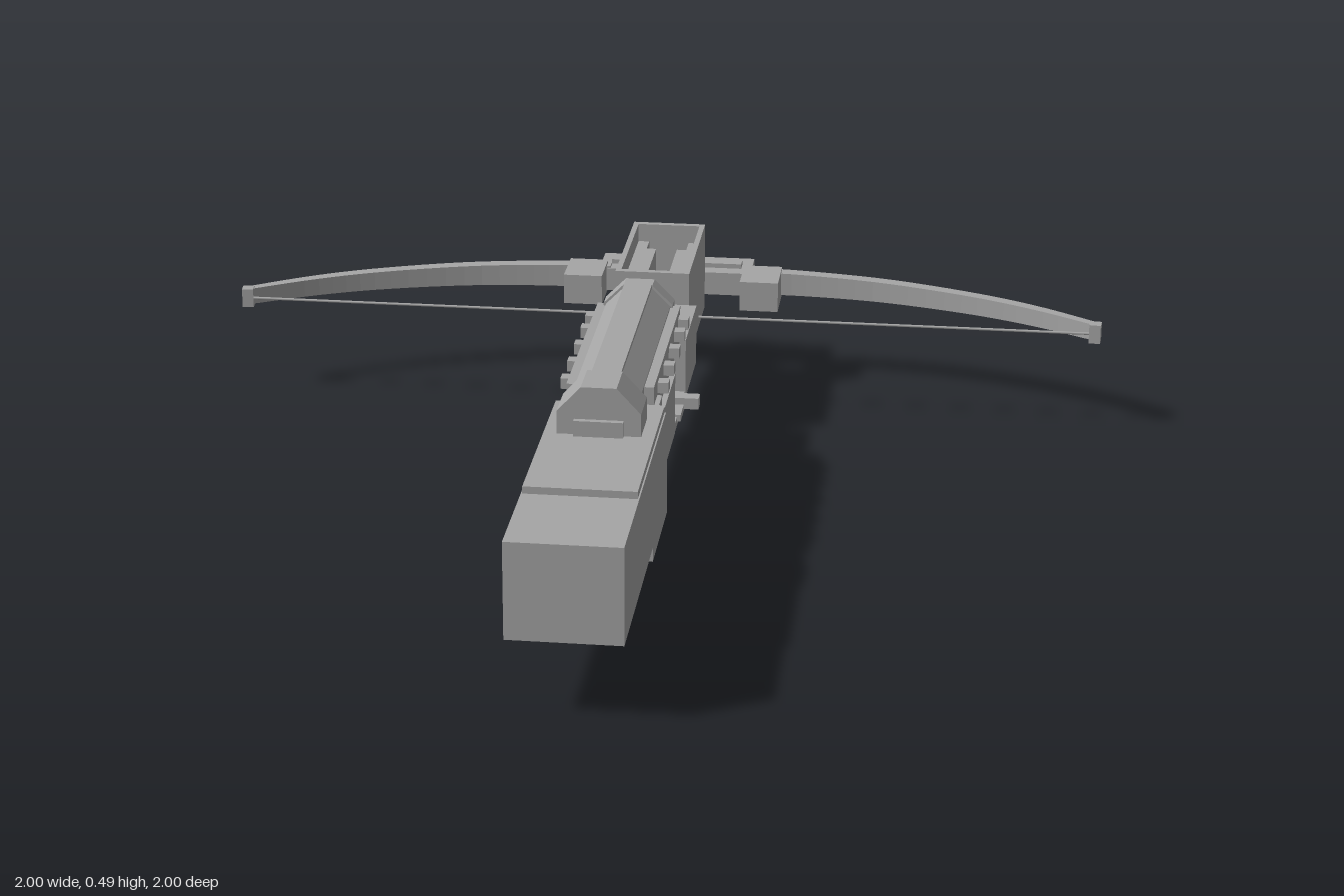
import * as THREE from 'three';

export function createModel() {
  const model = new THREE.Group();
  const grey = new THREE.MeshStandardMaterial({ color: 0xa6a6a6 });
  grey.name = 'plain grey';

  const add = (name, geometry, parent = model) => {
    const mesh = new THREE.Mesh(geometry, grey);
    mesh.name = name;
    parent.add(mesh);
    return mesh;
  };
  // Box given by its limits on each axis
  const box = (name, x0, x1, y0, y1, z0, z1, parent) => {
    const mesh = add(name, new THREE.BoxGeometry(x1 - x0, y1 - y0, z1 - z0), parent);
    mesh.position.set((x0 + x1) / 2, (y0 + y1) / 2, (z0 + z1) / 2);
    return mesh;
  };
  // Outline in x and y, extruded along z
  const prism = (name, points, z0, z1, parent, hole) => {
    const shape = new THREE.Shape(points.map(p => new THREE.Vector2(p[0], p[1])));
    if (hole) shape.holes.push(hole);
    const g = new THREE.ExtrudeGeometry(shape, { depth: z1 - z0, bevelEnabled: false, curveSegments: 24 });
    g.translate(0, 0, z0);
    return add(name, g, parent);
  };

  const body = new THREE.Group();
  body.name = 'body';
  body.position.x = -0.006;
  model.add(body);

  // Stock
  box('stock', -0.115, 0.115, 0.17, 0.372, 0.32, 1, body);
  box('stockTop', -0.112, 0.112, 0.365, 0.387, 0.32, 0.77, body);

  // Receiver, its floor, and the forward block
  box('receiverFloor', -0.1, 0.1, 0.205, 0.225, -0.17, 0.32, body);
  box('receiverCore', -0.075, 0.075, 0.225, 0.345, 0.04, 0.32, body);
  box('receiverTop', -0.1, 0.1, 0.335, 0.385, 0.26, 0.33, body);
  box('forwardBlock', -0.102, 0.102, 0.21, 0.345, -0.39, -0.17, body);
  for (const s of [-1, 1]) {
    const x = s * 0.09;
    box('receiverPanel', x - 0.012, x + 0.012, 0.21, 0.345, 0.035, 0.26, body);
    const gx = s * 0.067;
    box('gripPlate', gx - 0.012, gx + 0.012, 0, 0.21, -0.022, 0.24, body);
  }
  box('gripSpine', -0.03, 0.03, 0.037, 0.205, -0.03, 0.03, body);
  box('trigger', -0.012, 0.012, 0.22, 0.32, 0.01, 0.035, body);
  box('sideLatch', 0.085, 0.14, 0.22, 0.245, -0.11, -0.08, body);
  box('latchArm', 0.08, 0.108, 0.215, 0.23, -0.12, -0.02, body);

  // Slotted bolt rail
  box('railBase', -0.065, 0.065, 0.2, 0.215, -0.9, -0.39, body);
  for (const s of [-1, 1]) {
    const x = s * 0.042;
    box('railSide', x - 0.023, x + 0.023, 0.21, 0.23, -0.89, -0.39, body);
  }

  // Open bolt magazine with inner ledges
  const mag = new THREE.Group();
  mag.name = 'magazine';
  body.add(mag);
  box('magazineFloor', -0.083, 0.083, 0.208, 0.235, -0.755, -0.41, mag);
  box('magazineFront', -0.083, 0.083, 0.21, 0.412, -0.425, -0.41, mag);
  box('magazineBack', -0.083, 0.083, 0.21, 0.412, -0.755, -0.74, mag);
  for (const s of [-1, 1]) {
    box('magazineWall', s * 0.077 - 0.006, s * 0.077 + 0.006, 0.21, 0.412, -0.755, -0.41, mag);
    box('magazineLedge', s * 0.06 - 0.014, s * 0.06 + 0.014, 0.22, 0.37, -0.74, -0.425, mag);
    box('magazineGuide', s * 0.036 - 0.012, s * 0.036 + 0.012, 0.22, 0.37, -0.69, -0.48, mag);
  }

  // Faceted tube on top, with wider ends and a ridge
  const octagon = r => [...Array(8)].map((_, i) => {
    const a = (i + 0.5) * Math.PI / 4, k = r / Math.cos(Math.PI / 8);
    return [Math.cos(a) * k, 0.4 + Math.sin(a) * k];
  });
  const tube = new THREE.Group();
  tube.name = 'topTube';
  body.add(tube);
  prism('tubeBarrel', octagon(0.07), -0.18, 0.4, tube);
  prism('tubeRearCollar', octagon(0.075), -0.19, -0.15, tube);
  prism('tubeFrontCollar', [[-0.085, 0.385], [0.085, 0.385], [0.085, 0.435],
    [0.036, 0.488], [-0.036, 0.488], [-0.085, 0.435]], 0.4, 0.495, tube);
  box('tubeRidge', -0.03, 0.03, 0.46, 0.477, -0.15, 0.4, tube);
  box('tubeFoot', -0.05, 0.05, 0.38, 0.42, 0.38, 0.507, tube);
  for (const s of [-1, 1]) {
    box('tubeSideRail', s * 0.078 - 0.012, s * 0.078 + 0.012, 0.345, 0.425, -0.165, 0.32, tube);
    for (const z of [0.24, 0.14, 0.04, -0.06, -0.135])
      box('railPeg', s * 0.098 - 0.014, s * 0.098 + 0.014, 0.387, 0.41, z - 0.014, z + 0.014, tube);
  }

  // Riser holding the limbs
  box('riser', -0.18, 0.18, 0.2, 0.255, -0.975, -0.865, body);
  box('riserInset', -0.155, 0.155, 0.25, 0.266, -0.935, -0.9, body);
  for (const s of [-1, 1])
    box('riserBlock', s * 0.208 - 0.045, s * 0.208 + 0.045, 0.195, 0.266, -0.895, -0.777, body);

  // Curved limbs, thinning towards the tips
  const outer = [[0.16, 0.9], [0.3, 0.895], [0.5, 0.866], [0.7, 0.805], [0.85, 0.737], [0.995, 0.645]];
  const inner = [[0.98, 0.63], [0.84, 0.712], [0.69, 0.778], [0.49, 0.837], [0.3, 0.864], [0.16, 0.867]];
  for (const s of [-1, 1]) {
    const flip = list => list.map(p => new THREE.Vector2(p[0] * s, p[1]));
    const shape = new THREE.Shape();
    shape.moveTo(outer[0][0] * s, outer[0][1]);
    shape.splineThru(flip(outer.slice(1)));
    shape.lineTo(inner[0][0] * s, inner[0][1]);
    shape.splineThru(flip(inner.slice(1)));
    const g = new THREE.ExtrudeGeometry(shape, { depth: 0.056, bevelEnabled: false, curveSegments: 4 });
    g.translate(0, 0, -0.028).rotateX(-Math.PI / 2);
    const p = g.attributes.position;
    for (let i = 0; i < p.count; i++)
      p.setY(i, 0.232 + p.getY(i) * (1.06 - 0.4 * Math.abs(p.getX(i))));
    g.computeVertexNormals();
    add('limb', g);
    const tip = box('limbTip', s * 0.985 - 0.013, s * 0.985 + 0.013, 0.21, 0.254, -0.645, -0.617);
    tip.rotation.y = -s * 0.1;
  }

  // Bowstring
  const string = add('bowstring', new THREE.CylinderGeometry(0.003, 0.003, 1.96, 6).rotateZ(Math.PI / 2));
  string.position.set(0, 0.232, -0.622);

  // Scalloped ring hanging from the nose
  const rim = [...Array(32)].map((_, i) => {
    const a = i / 32 * Math.PI * 2, r = i % 4 < 2 ? 0.048 : 0.041;
    return [Math.cos(a) * r, 0.145 + Math.sin(a) * r];
  });
  const hole = new THREE.Path();
  hole.absarc(0, 0.145, 0.027, 0, Math.PI * 2, true);
  prism('noseRing', rim, -1, -0.978, body, hole);
  box('ringNeck', -0.014, 0.014, 0.185, 0.235, -0.998, -0.975, body);
  box('ringBar', -0.045, 0.045, 0.222, 0.247, -0.992, -0.97, body);

  return model;
}
